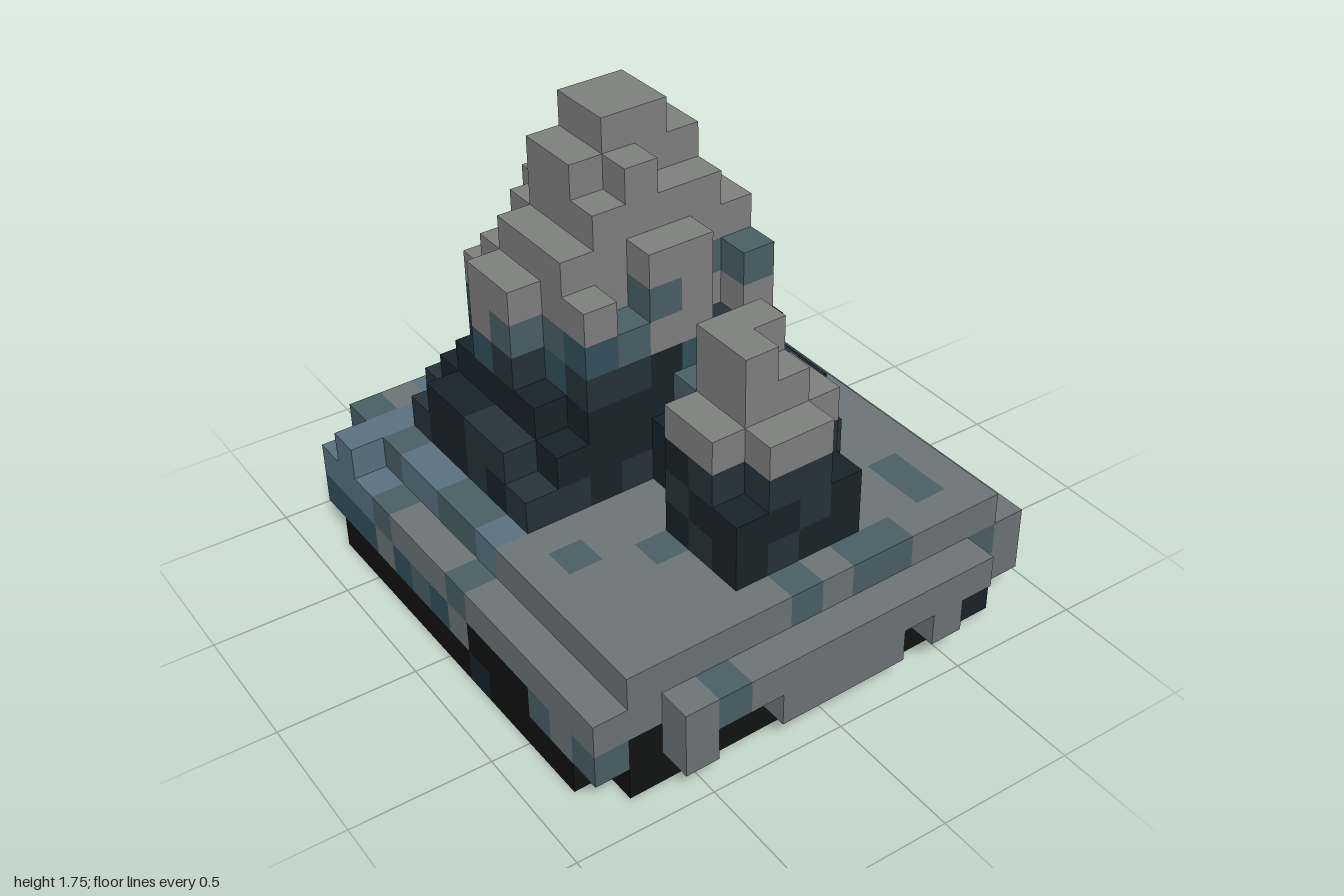
import * as THREE from 'three';
import { mergeGeometries } from 'three/addons/utils/BufferGeometryUtils.js';

const S = 0.1238; // edge of one cube

const COLORS = {
  black: 0x111212, night: 0x18232a, slate: 0x25333a, teal: 0x33505c,
  moss: 0x4a6066, blue: 0x5a7280, stone: 0x6d7577, grey: 0x7f817f,
};

// Cube columns per row of z: [z, first x, heights in layers]
const PEAK = [
  [-6, -4, [5, 5, 6, 7, 7, 6, 5, 5]],
  [-5, -5, [5, 6, 9, 9, 11, 11, 8, 10, 7, 5]],
  [-4, -5, [6, 7, 10, 11, 12, 12, 11, 11, 5, 5]],
  [-3, -5, [6, 10, 11, 13, 14, 14, 13, 11, 10, 6]],
  [-2, -5, [6, 10, 11, 13, 14, 14, 13, 11, 7, 6]],
  [-1, -5, [6, 7, 11, 12, 13, 12, 12, 11, 7, 5]],
  [0, -5, [5, 6, 10, 9, 11, 11, 8, 10, 6, 5]],
  [1, -1, [6, 6]],
];
const SMALL_PEAK = [
  [2, -1, [5, 5]],
  [3, -2, [8, 10, 10, 8, 6]],
  [4, -2, [8, 10, 9, 8]],
  [5, -2, [6, 8, 8, 6]],
];

// Repeatable noise in 0..1 for the colour patches
function noise(x, y, z) {
  const n = Math.sin(x * 12.99 + y * 78.23 + z * 37.72) * 43758.55;
  return n - Math.floor(n);
}
const pick = (list, r) => list[Math.floor(r * list.length)];

function rockColor(x, y, z) {
  const r = noise(x, y, z);
  const snowLine = z >= 2 ? 7 : 8;
  if (y < snowLine - 1) return r < 0.7 ? 'night' : 'slate';
  if (y < snowLine) return pick(['night', 'slate', 'slate', 'teal'], r);
  if (y < 10 && z < 2) return pick(['grey', 'grey', 'grey', 'moss', 'teal'], r);
  return 'grey';
}

function groundColor(x, y, z) {
  const r = noise(x, y, z);
  if (y === 0) return r < 0.94 ? 'black' : 'night';
  if (y === 1) return pick(['black', 'black', 'teal', 'moss', 'stone'], r);
  if (z < -4) return pick(['blue', 'blue', 'moss', 'teal', 'stone'], r);
  if (z < 1) return pick(['stone', 'stone', 'blue', 'moss'], r);
  return r < 0.88 ? 'stone' : 'moss';
}

export function createModel() {
  const model = new THREE.Group();
  const cells = new Map();
  const key = (x, y, z) => `${x},${y},${z}`;
  const put = (part, x, y, z, color) => cells.set(key(x, y, z), { part, x, y, z, color });
  const fill = (part, x0, x1, y0, y1, z0, z1, colorOf) => {
    for (let x = x0; x < x1; x++)
      for (let y = y0; y < y1; y++)
        for (let z = z0; z < z1; z++) put(part, x, y, z, colorOf(x, y, z));
  };

  // Base without its corner cubes, wide slab, top plate
  fill('base', -6, 6, 0, 1, -7, 7, groundColor);
  for (const x of [-7, 6]) fill('base', x, x + 1, 0, 1, -6, 6, groundColor);
  fill('slab', -7, 7, 1, 3, -7, 7, groundColor);
  fill('plate', -6, 6, 3, 4, -7, 7, groundColor);
  put('plate', -7, 3, -6, 'blue');

  // Front and back ledges with hanging cubes
  for (const z of [-8, 7]) {
    fill('ledge', -5, 5, 2, 3, z, z + 1, groundColor);
    for (const x of [-5, -2, -1, 0, 1, 3]) put('ledge', x, 1, z, z > 0 ? 'stone' : 'teal');
  }

  // Mountains
  const raise = (part, rows) => rows.forEach(([z, x0, heights]) =>
    heights.forEach((h, i) => fill(part, x0 + i, x0 + i + 1, 4, h, z, z + 1, rockColor)));
  raise('mountain', PEAK);
  raise('smallMountain', SMALL_PEAK);
  // Overhang behind the small mountain, with a gap under it
  fill('smallMountain', -1, 1, 6, 8, 2, 3, () => 'moss');

  // One square per exposed cube face
  const sides = [
    [1, 0, 0, 0, Math.PI / 2], [-1, 0, 0, 0, -Math.PI / 2],
    [0, 1, 0, -Math.PI / 2, 0], [0, -1, 0, Math.PI / 2, 0],
    [0, 0, 1, 0, 0], [0, 0, -1, 0, Math.PI],
  ];
  const batches = {};
  for (const { part, x, y, z, color } of cells.values()) {
    for (const [dx, dy, dz, rx, ry] of sides) {
      if (cells.has(key(x + dx, y + dy, z + dz))) continue;
      const face = new THREE.PlaneGeometry(S, S).rotateX(rx).rotateY(ry);
      face.translate((x + 0.5 + dx / 2) * S, (y + 0.5 + dy / 2) * S, (z + 0.5 + dz / 2) * S);
      const batch = ((batches[part] ??= {})[color] ??= []);
      batch.push(face);
    }
  }
  for (const [part, byColor] of Object.entries(batches)) {
    const group = new THREE.Group();
    group.name = part;
    for (const [color, faces] of Object.entries(byColor)) {
      const material = new THREE.MeshStandardMaterial({ color: COLORS[color], flatShading: true });
      const mesh = new THREE.Mesh(mergeGeometries(faces), material);
      mesh.name = `${part} ${color} cubes`;
      group.add(mesh);
    }
    model.add(group);
  }

  // Slight tilt and turn of the whole block
  model.rotation.set(0, 0.0155, 0.0155);
  model.position.y = 7 * S * Math.sin(0.0155);
  return model;
}
